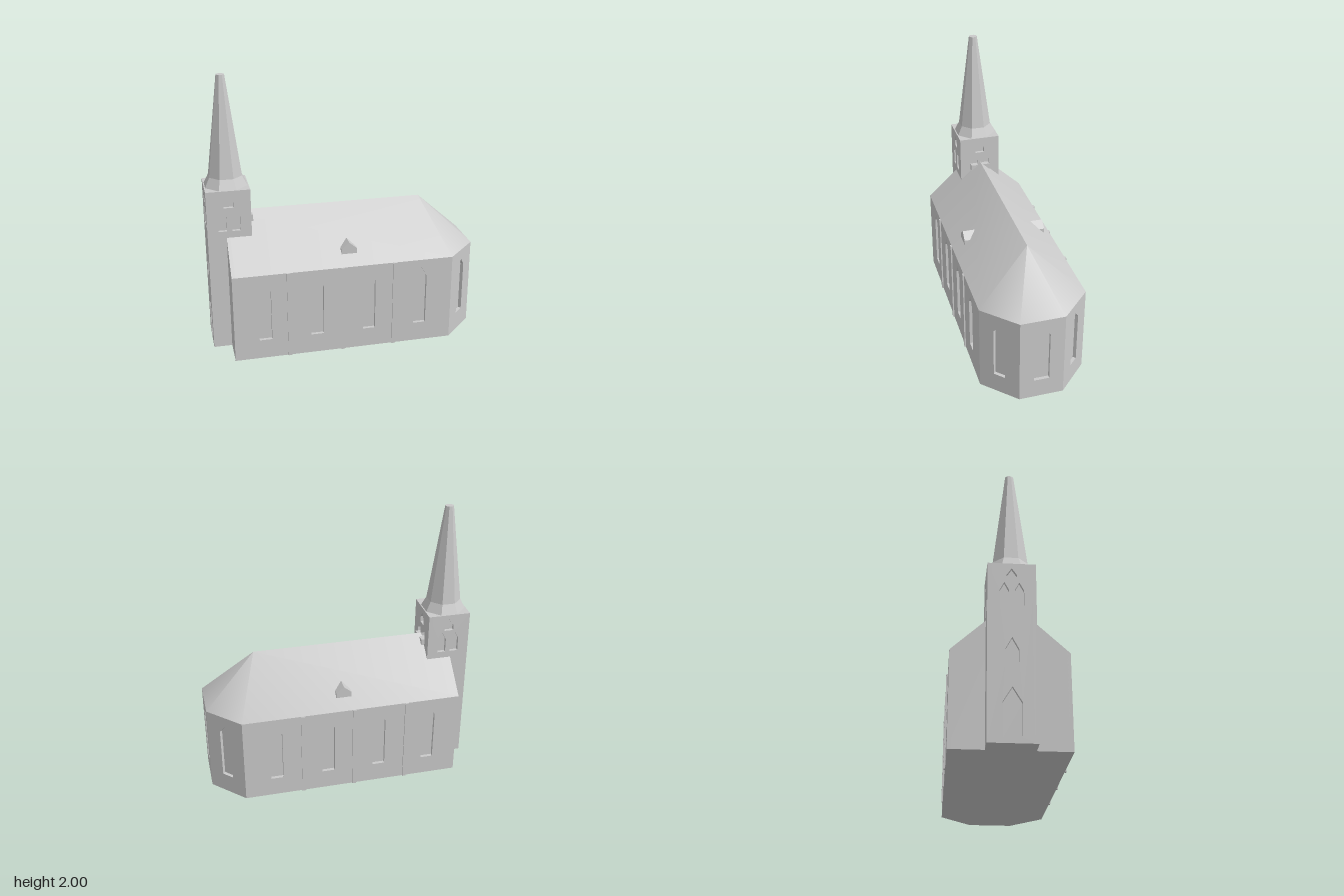
import * as THREE from 'three';
import { toCreasedNormals } from 'three/addons/utils/BufferGeometryUtils.js';

const RECESS = 0.025;
const EAVE = 0.655, RIDGE = 1.01, HALF = 0.383;

export function createModel() {
  const stone = new THREE.MeshStandardMaterial({ color: 0xcacaca });
  stone.name = 'stone';
  const model = new THREE.Group();
  model.name = 'church';

  const add = (parent, name, geometry, x = 0, y = 0, z = 0) => {
    const mesh = new THREE.Mesh(geometry, stone);
    mesh.name = name;
    mesh.position.set(x, y, z);
    parent.add(mesh);
    return mesh;
  };
  const points = (list) => list.map(([x, y]) => new THREE.Vector2(x, y));

  // pointed window outline: centre u, width w, sill, spring line, tip
  const lancet = ([u, w, sill, spring, tip]) => points([
    [u - w / 2, sill], [u + w / 2, sill], [u + w / 2, spring], [u, tip], [u - w / 2, spring]]);

  // wall with recessed windows, centred on (x, z) and facing the given angle
  const wall = (parent, name, outline, windows, x, z, angle) => {
    const group = new THREE.Group();
    group.name = name;
    group.position.set(x, 0, z);
    group.rotation.y = angle;
    const shape = new THREE.Shape(points(outline));
    windows.forEach((w) => shape.holes.push(new THREE.Path(lancet(w))));
    add(group, name + 'Face', new THREE.ExtrudeGeometry(shape, { depth: RECESS, bevelEnabled: false }), 0, 0, -RECESS);
    windows.forEach((w) => add(group, 'windowPane',
      new THREE.ShapeGeometry(new THREE.Shape(lancet(w))), 0, 0, -RECESS + 0.001));
    parent.add(group);
  };
  const rect = (w, h) => [[-w / 2, 0], [w / 2, 0], [w / 2, h], [-w / 2, h]];

  // nave and apse walls
  const nave = new THREE.Group();
  nave.name = 'nave';
  model.add(nave);
  const west = -0.852, bend = 0.755, east = 0.98, apseHalf = 0.16;
  const mid = (west + bend) / 2;
  const bays = [-0.628, -0.25, 0.132, 0.517];
  for (const s of [1, -1]) {
    wall(nave, s > 0 ? 'frontWall' : 'backWall', rect(bend - west, EAVE),
      bays.map((x) => [s * (x - mid), 0.092, 0.145, 0.525, 0.6]), mid, s * HALF, s > 0 ? 0 : Math.PI);
    const dx = east - bend, dz = HALF - apseHalf;
    wall(nave, 'apseSideWall', rect(Math.hypot(dx, dz), EAVE), [[0, 0.09, 0.145, 0.52, 0.575]],
      (bend + east) / 2, s * (HALF + apseHalf) / 2, Math.atan2(dz, s * dx));
    // thin wall strips between the bays
    for (const x of [-0.455, -0.062, 0.32])
      add(nave, 'pilaster', new THREE.BoxGeometry(0.027, EAVE, 0.03), x, EAVE / 2, s * (HALF - 0.005));
  }
  wall(nave, 'apseEndWall', rect(apseHalf * 2, EAVE), [[0, 0.11, 0.145, 0.525, 0.6]], east, 0, Math.PI / 2);
  wall(nave, 'gableWall', [[-HALF, 0], [HALF, 0], [HALF, EAVE], [0, RIDGE], [-HALF, EAVE]], [], west, 0, -Math.PI / 2);

  // floor of the nave, facing down
  const plan = new THREE.Shape(points([[west, -HALF], [bend, -HALF], [east, -apseHalf],
    [east, apseHalf], [bend, HALF], [west, HALF]]));
  add(nave, 'floor', new THREE.ShapeGeometry(plan).rotateX(Math.PI / 2));

  // roof: two slopes running smoothly round the apse
  const roof = new THREE.BufferGeometry();
  roof.setAttribute('position', new THREE.Float32BufferAttribute([
    west, RIDGE, 0, 0.6, RIDGE, 0,
    west, EAVE, HALF, bend, EAVE, HALF, east, EAVE, apseHalf,
    east, EAVE, -apseHalf, bend, EAVE, -HALF, west, EAVE, -HALF], 3));
  roof.setIndex([0, 2, 3, 0, 3, 1, 1, 3, 4, 1, 4, 5, 1, 5, 6, 1, 6, 7, 1, 7, 0]);
  add(nave, 'roof', toCreasedNormals(roof, 0.7));

  // dormers, their backs buried in the roof slope
  const dormer = new THREE.Shape(points([[-0.057, 0.725], [0.057, 0.725], [0.057, 0.762], [0, 0.81], [-0.057, 0.762]]));
  for (const s of [1, -1])
    add(nave, 'dormer', new THREE.ExtrudeGeometry(dormer, { depth: 0.1, bevelEnabled: false }),
      0, 0, s > 0 ? 0.208 : -0.308);

  // tower
  const tower = new THREE.Group();
  tower.name = 'tower';
  tower.position.x = -0.828;
  model.add(tower);
  const r = 0.156, top = 1.215;
  const belfry = [[0, 0.068, 1.09, 1.13, 1.18], [-0.048, 0.06, 0.915, 1.02, 1.078], [0.048, 0.06, 0.915, 1.02, 1.078]];
  const entrance = [[0, 0.12, 0.035, 0.26, 0.36], [0, 0.085, 0.52, 0.61, 0.69]];
  for (let i = 0; i < 4; i++) {
    const a = i * Math.PI / 2;
    wall(tower, 'towerWall', rect(r * 2, top), i === 3 ? [...belfry, ...entrance] : belfry,
      Math.sin(a) * r, Math.cos(a) * r, a);
  }
  add(tower, 'towerTop', new THREE.PlaneGeometry(r * 2, r * 2).rotateX(-Math.PI / 2), 0, top, 0);
  add(tower, 'towerBase', new THREE.PlaneGeometry(r * 2, r * 2).rotateX(Math.PI / 2));

  // small blocks on the tower above the ridge
  for (const s of [1, -1])
    add(tower, 'ridgeBlock', new THREE.BoxGeometry(0.04, 0.048, 0.055), r + 0.002, 0.967, s * 0.046);

  // eight-sided spire with a flared foot; widths are measured across the flats
  const spirePart = (name, upper, lower, y0, y1) => {
    const k = 1 / Math.cos(Math.PI / 8);
    const g = new THREE.CylinderGeometry(upper * k, lower * k, y1 - y0, 8, 1, false, Math.PI / 8);
    add(tower, name, toCreasedNormals(g, 0.3), 0, (y0 + y1) / 2, 0);
  };
  spirePart('spireFoot', 0.115, 0.148, top, 1.285);
  spirePart('spire', 0.028, 0.115, 1.285, 2);

  return model;
}
